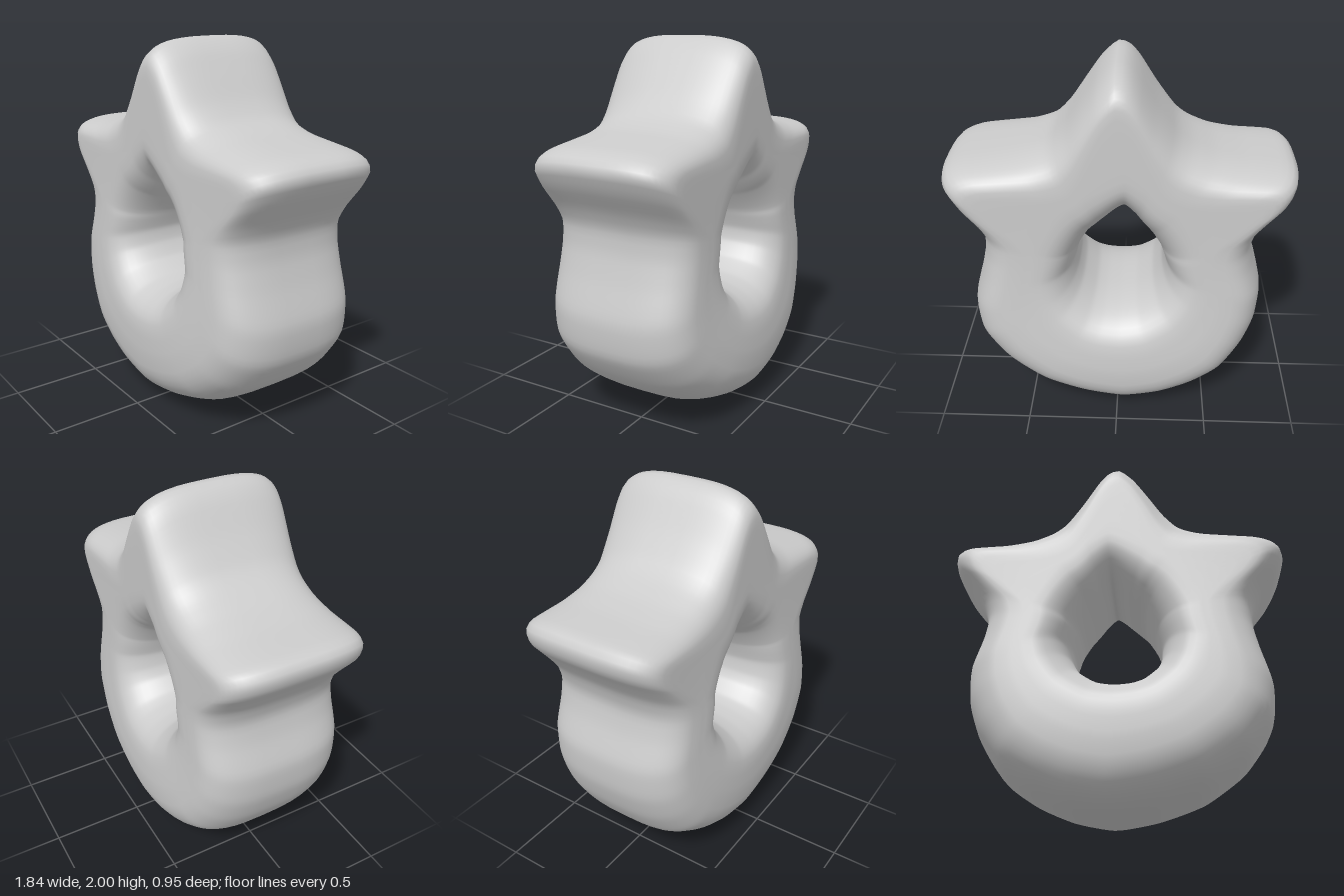
import * as THREE from 'three';

// Outer outline, counter-clockwise: three pointed lobes over a round base
const OUTER = [
  [.73, .98], [.73, 1.1], [.78, 1.2], [.87, 1.32], [.92, 1.42], [.89, 1.47], [.8, 1.505], [.5, 1.55],
  [.36, 1.6], [.27, 1.69], [.18, 1.82], [.1, 1.93], [.02, 2], [-.04, 1.99], [-.1, 1.93], [-.2, 1.78],
  [-.3, 1.65], [-.38, 1.59], [-.5, 1.54], [-.65, 1.51], [-.87, 1.49], [-.925, 1.45], [-.91, 1.37],
  [-.84, 1.28], [-.76, 1.17], [-.72, 1.05], [-.74, .92], [-.79, .75], [-.78, .57], [-.72, .4],
  [-.61, .23], [-.45, .12], [-.26, .04], [-.04, 0], [.2, .04], [.45, .13], [.66, .28], [.79, .46],
  [.81, .65], [.76, .84],
];
// Teardrop hole, counter-clockwise
const HOLE = [
  [.23, .9], [.2, 1], [.14, 1.1], [.06, 1.18], [-.035, 1.26], [-.14, 1.13], [-.21, 1.02], [-.25, .91],
  [-.24, .83], [-.19, .75], [-.1, .69], [-.02, .675], [.06, .68], [.12, .7], [.19, .76], [.22, .82],
];
const CENTRE = new THREE.Vector3(-.02, .95, 0);

function outline(points, count) {
  const corners = points.map(([x, y]) => new THREE.Vector3(x, y, 0));
  const curve = new THREE.CatmullRomCurve3(corners, true, 'catmullrom', .3);
  curve.arcLengthDivisions = 1000;
  return curve.getSpacedPoints(count).slice(0, count);
}

// Half thickness: fullest low in the middle, slimmer towards the lobes and sides
function halfDepth(x, y, isFront) {
  const [middle, spread] = isFront ? [.4, .55] : [.28, .45];
  const belly = Math.exp(-(((y - middle) / spread) ** 2)) * Math.max(0, 1 - (x / .9) ** 2);
  return .397 + .077 * belly;
}

// Front half of a cross-section: [distance from the hole, fraction of depth]
function frontProfile(length, rimY) {
  const steps = 12;
  const inner = Math.min(.23, length * .42);
  const outer = Math.min(THREE.MathUtils.mapLinear(rimY, 0, 2, .32, .19), length * .45);
  const corner = (k, power) => {
    const a = k / steps * Math.PI / 2;
    return [Math.cos(a) ** (2 / power), Math.sin(a) ** (2 / power)];
  };
  const points = [];
  for (let k = 0; k <= steps; k++) {
    const [c, s] = corner(k, 2.6);
    points.push([inner * (1 - c), s]);
  }
  for (let k = 1; k < 4; k++) points.push([THREE.MathUtils.lerp(inner, length - outer, k / 4), 1]);
  for (let k = steps; k > 0; k--) {
    const [c, s] = corner(k, 3);
    points.push([length - outer * (1 - c), s]);
  }
  return points;
}

function bodyGeometry() {
  const around = 180;
  const rim = outline(OUTER, around);
  const hole = outline(HOLE, 4000).map(point => ({ point, direction: point.clone().sub(CENTRE).normalize() }));
  const positions = [], index = [];
  let across = 0;
  for (const p of rim) {
    // hole edge lying in the same direction from the centre as the rim point
    const direction = p.clone().sub(CENTRE).normalize();
    let start = p, best = -2;
    for (const h of hole) {
      const dot = h.direction.dot(direction);
      if (dot > best) { best = dot; start = h.point; }
    }
    const length = p.distanceTo(start);
    const front = frontProfile(length, p.y);
    // mirror the front half to the back
    const back = front.slice(1).reverse().map(([s, z]) => [s, -z]);
    const section = [...front, [length, 0], ...back];
    across = section.length;
    for (const [s, z] of section) {
      const q = start.clone().lerp(p, s / length);
      positions.push(q.x, q.y, z * halfDepth(q.x, q.y, z > 0));
    }
  }
  for (let i = 0; i < around; i++) {
    for (let j = 0; j < across; j++) {
      const ni = (i + 1) % around, nj = (j + 1) % across;
      const a = i * across + j, b = i * across + nj, c = ni * across + j, d = ni * across + nj;
      index.push(a, b, c, b, d, c);
    }
  }
  const geometry = new THREE.BufferGeometry();
  geometry.setAttribute('position', new THREE.Float32BufferAttribute(positions, 3));
  geometry.setIndex(index);
  geometry.computeVertexNormals();
  return geometry;
}

export function createModel() {
  const group = new THREE.Group();
  const body = new THREE.Mesh(bodyGeometry(), new THREE.MeshStandardMaterial({ color: 0xcccccc }));
  body.name = 'crownedRing';
  group.add(body);
  return group;
}
